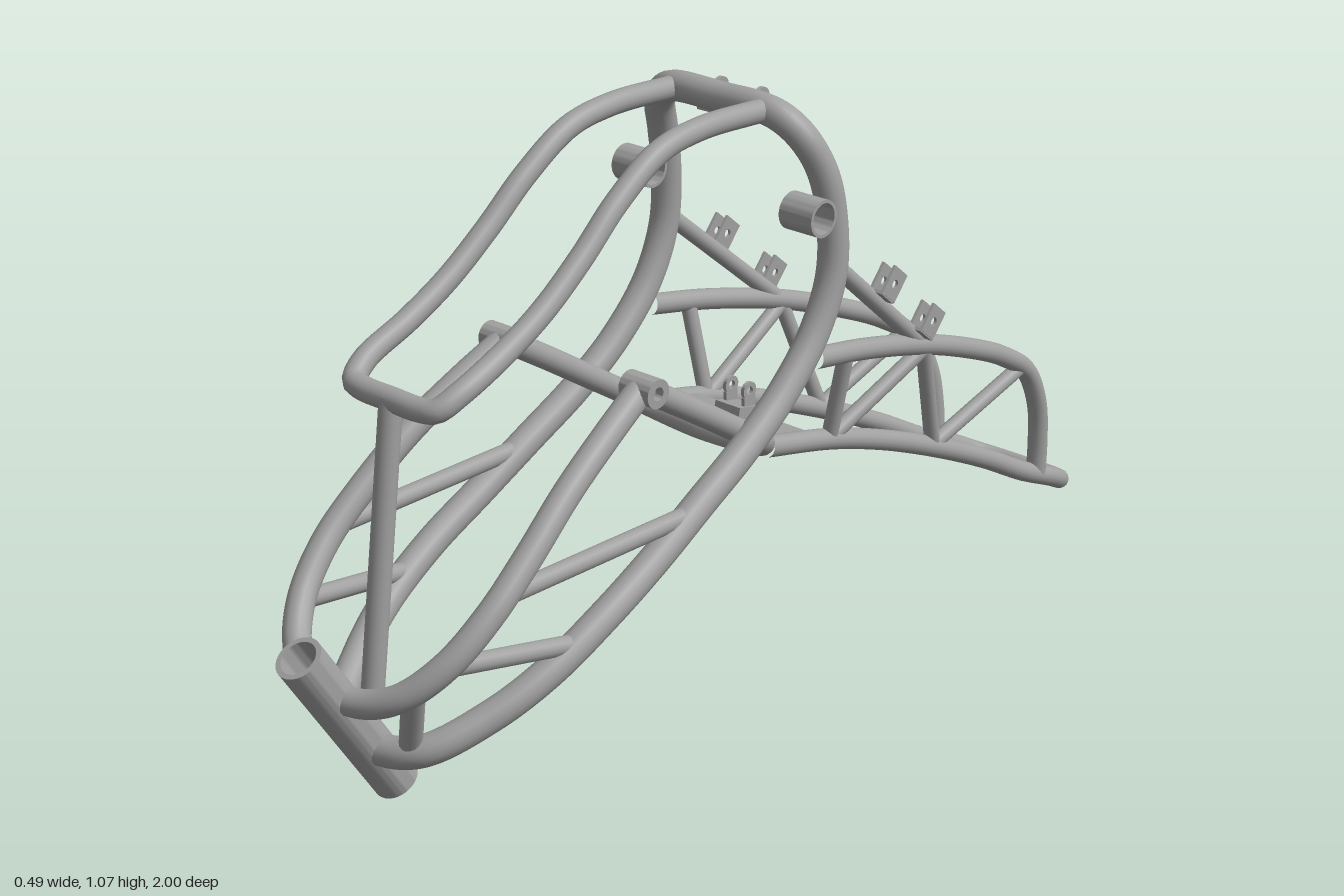
import * as THREE from 'three';
import { toCreasedNormals } from 'three/addons/utils/BufferGeometryUtils.js';

const V = (p) => new THREE.Vector3(...p);
const flip = ([x, y, z]) => [-x, y, z];

export function createModel() {
  const group = new THREE.Group();
  const steel = new THREE.MeshStandardMaterial({ color: 0xa0a0a0 });
  steel.name = 'bare steel';

  function add(name, geometry) {
    const mesh = new THREE.Mesh(geometry, steel);
    mesh.name = name;
    group.add(mesh);
    return mesh;
  }

  // Bent tube through points
  function bent(name, points, r, closed = false) {
    const curve = new THREE.CatmullRomCurve3(points.map(V), closed, 'centripetal');
    add(name, new THREE.TubeGeometry(curve, points.length * 8, r, 16, closed));
  }

  // Bent tube whose half (x > 0) is mirrored; the last point lies on x = 0
  function loop(name, half, r) {
    bent(name, [...half, ...half.slice(0, -1).reverse().map(flip)], r);
  }

  // Straight capped tube between two points
  function strut(name, a, b, r) {
    const from = V(a), to = V(b), dir = to.clone().sub(from);
    const mesh = add(name, new THREE.CylinderGeometry(r, r, dir.length(), 16));
    mesh.position.copy(from).lerp(to, 0.5);
    mesh.quaternion.setFromUnitVectors(new THREE.Vector3(0, 1, 0), dir.normalize());
  }

  // Hollow sleeve between two points
  function sleeve(name, a, b, outer, inner) {
    const from = V(a), dir = V(b).sub(from);
    const shape = new THREE.Shape().absarc(0, 0, outer, 0, Math.PI * 2);
    shape.holes.push(new THREE.Path().absarc(0, 0, inner, 0, Math.PI * 2, true));
    const geo = new THREE.ExtrudeGeometry(shape, { depth: dir.length(), bevelEnabled: false, curveSegments: 28 });
    const mesh = add(name, toCreasedNormals(geo, 0.6));
    mesh.position.copy(from);
    mesh.quaternion.setFromUnitVectors(new THREE.Vector3(0, 0, 1), dir.normalize());
  }

  function box(name, size, pos, tilt = 0) {
    const mesh = add(name, new THREE.BoxGeometry(...size));
    mesh.position.set(...pos);
    mesh.rotation.x = tilt;
  }

  // Square lug with a bolt hole, facing x
  function lug(name, [x, y, z], w, h, hole, tilt) {
    const shape = new THREE.Shape([[-w, -h], [w, -h], [w, h], [-w, h]].map((p) => new THREE.Vector2(...p)));
    shape.holes.push(new THREE.Path().absarc(0, 0, hole, 0, Math.PI * 2, true));
    const geo = new THREE.ExtrudeGeometry(shape, { depth: 0.006, bevelEnabled: false, curveSegments: 8 });
    geo.translate(0, 0, -0.003).rotateY(Math.PI / 2).rotateX(tilt);
    add(name, toCreasedNormals(geo, 0.6)).position.set(x, y, z);
  }

  // Main hoop: lower rails sweeping up into the arch
  const main = [
    [0.1, 0.13, 0.8], [0.165, 0.18, 0.7], [0.2, 0.235, 0.6], [0.214, 0.3, 0.48], [0.214, 0.36, 0.36],
    [0.21, 0.425, 0.24], [0.206, 0.49, 0.12], [0.203, 0.56, 0.02], [0.202, 0.65, -0.065], [0.202, 0.75, -0.11],
    [0.198, 0.86, -0.112], [0.19, 0.94, -0.095], [0.168, 1.005, -0.065], [0.125, 1.04, -0.046],
  ];
  bent('mainHoop', [[0, 0.115, 0.825], ...main, [0, 1.045, -0.043], ...main.slice().reverse().map(flip)], 0.028, true);

  // Upper front hoop
  loop('upperFrontHoop', [
    [0.165, 0.655, 0.335], [0.178, 0.605, 0.43], [0.192, 0.54, 0.54], [0.203, 0.46, 0.645], [0.203, 0.39, 0.73],
    [0.18, 0.32, 0.805], [0.13, 0.265, 0.86], [0.07, 0.24, 0.885], [0, 0.235, 0.895],
  ], 0.025);

  // Rear cradle dropping from the pivots to a crossbar
  loop('rearCradle', [
    [0.165, 0.655, 0.335], [0.168, 0.59, 0.23], [0.17, 0.52, 0.12], [0.165, 0.462, 0.03], [0.13, 0.438, 0], [0, 0.43, 0],
  ], 0.022);

  // Top rails joined by a front crossbar
  loop('topRails', [
    [0.105, 1.045, -0.04], [0.105, 1.048, 0.13], [0.106, 1.03, 0.23], [0.108, 0.97, 0.33], [0.111, 0.895, 0.42],
    [0.113, 0.83, 0.51], [0.114, 0.782, 0.6], [0.113, 0.74, 0.7], [0.098, 0.718, 0.737], [0.07, 0.714, 0.744],
    [0, 0.714, 0.745],
  ], 0.021);

  // Tail loop: lower rear rails
  loop('tailLoop', [
    [0.15, 0.438, 0], [0.152, 0.4, -0.17], [0.147, 0.35, -0.32], [0.141, 0.28, -0.49], [0.135, 0.2, -0.66],
    [0.13, 0.125, -0.8], [0.126, 0.08, -0.9], [0.105, 0.049, -0.96], [0.065, 0.04, -0.979], [0, 0.04, -0.98],
  ], 0.02);

  // Steering neck and its upright
  sleeve('steeringNeck', [0, 0.33, 0.965], [0, 0.03, 0.77], 0.041, 0.032);
  strut('neckUpright', [0, 0.72, 0.745], [0, 0.21, 0.812], 0.02);

  for (const s of [1, -1]) {
    const m = ([x, y, z]) => [x * s, y, z];

    // Upper rear rails curving down to the tail
    bent('upperRearRail', [
      [0.2, 0.6, -0.07], [0.19, 0.572, -0.22], [0.176, 0.522, -0.41], [0.161, 0.46, -0.58], [0.151, 0.41, -0.69],
      [0.143, 0.35, -0.78], [0.137, 0.265, -0.828], [0.132, 0.18, -0.843], [0.129, 0.1, -0.845],
    ].map(m), 0.02);

    // Straight braces
    const braces = [
      ['seatStay', [0.2, 0.77, -0.11], [0.176, 0.52, -0.41], 0.016],
      ['rearBrace', [0.193, 0.58, -0.165], [0.152, 0.4, -0.17], 0.015],
      ['rearBrace', [0.152, 0.405, -0.18], [0.176, 0.515, -0.41], 0.015],
      ['rearBrace', [0.176, 0.515, -0.41], [0.141, 0.285, -0.49], 0.015],
      ['rearBrace', [0.141, 0.285, -0.49], [0.146, 0.37, -0.765], 0.015],
      ['sideBar', [0.204, 0.412, 0.71], [0.211, 0.415, 0.25], 0.017],
      ['frontBrace', [0.182, 0.315, 0.8], [0.209, 0.27, 0.54], 0.017],
      ['neckBrace', [0.145, 0.275, 0.85], [0.08, 0.125, 0.805], 0.02],
    ];
    for (const [name, a, b, r] of braces) strut(name, m(a), m(b), r);

    // Pivot and arch sleeves
    sleeve('pivotSleeve', m([0.136, 0.655, 0.335]), m([0.204, 0.655, 0.335]), 0.026, 0.012);
    sleeve('archSleeve', m([0.164, 0.875, -0.045]), m([0.238, 0.875, -0.045]), 0.034, 0.028);

    // Clevis brackets on the seat stays
    for (const [x, y, z] of [[0.203, 0.69, -0.268], [0.194, 0.58, -0.395]]) {
      for (const d of [-0.013, 0.013]) lug('stayLug', m([x + d, y, z]), 0.022, 0.028, 0.008, -0.7);
      box('stayLugBase', [0.03, 0.006, 0.044], m([x, y - 0.021, z + 0.018]), -0.7);
    }

    // Lugs on the arch and on the rear plate
    box('archLugArm', [0.008, 0.026, 0.05], m([0.048, 1.04, -0.068]));
    sleeve('archLugEye', m([0.044, 1.045, -0.095]), m([0.052, 1.045, -0.095]), 0.017, 0.008);
    box('plateLugArm', [0.007, 0.032, 0.03], m([0.022, 0.455, -0.095]));
    sleeve('plateLugEye', m([0.0185, 0.482, -0.095]), m([0.0255, 0.482, -0.095]), 0.017, 0.008);
  }

  // Mounting plates
  box('archPlate', [0.104, 0.008, 0.055], [0, 1.018, -0.065]);
  box('rearPlate', [0.28, 0.008, 0.085], [0, 0.427, -0.088], -0.2);
  box('rearPlateFoot', [0.06, 0.024, 0.05], [0, 0.442, -0.085], -0.2);

  return group;
}
